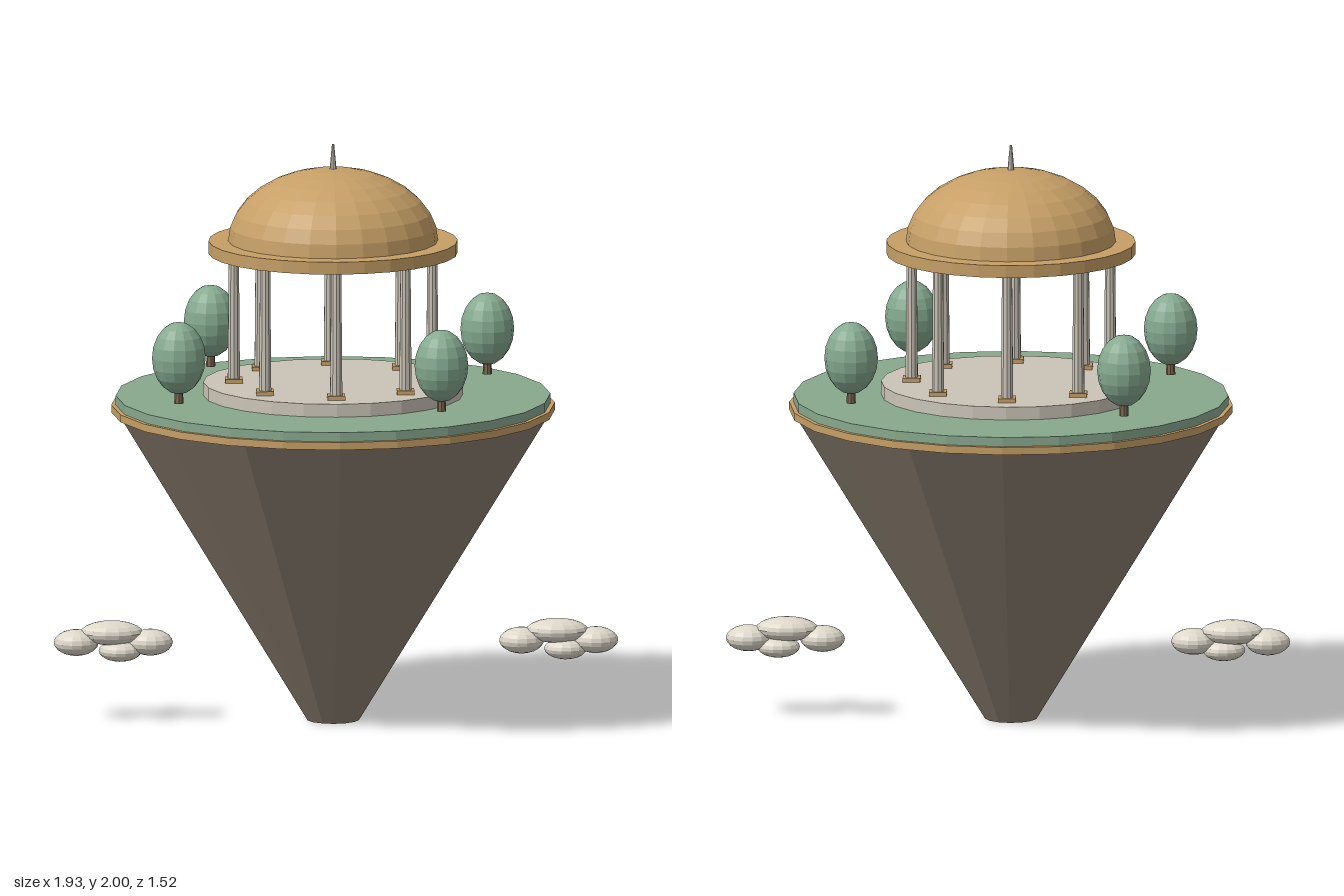
import * as THREE from 'three';

export function createModel() {
  const model = new THREE.Group();
  model.name = 'floatingPavilionIsland';

  const paint = (name, color) => {
    const m = new THREE.MeshStandardMaterial({ color, flatShading: true });
    m.name = name;
    return m;
  };
  const rockMat = paint('rock', 0x8c8071);
  const goldMat = paint('gold', 0xc69f66);
  const grassMat = paint('grass', 0x87a88d);
  const stoneMat = paint('stone', 0xcbc4b7);
  const leafMat = paint('foliage', 0x85aa90);
  const trunkMat = paint('bark', 0x7a6650);
  const cloudMat = paint('cloud', 0xded8ca);

  const add = (parent, name, geometry, material, x = 0, y = 0, z = 0) => {
    const mesh = new THREE.Mesh(geometry, material);
    mesh.name = name;
    mesh.position.set(x, y, z);
    parent.add(mesh);
    return mesh;
  };
  // Upright drum given by its bottom and top heights
  const drum = (parent, name, rTop, rBottom, y0, y1, sides, material, x = 0, z = 0) =>
    add(parent, name, new THREE.CylinderGeometry(rTop, rBottom, y1 - y0, sides), material, x, (y0 + y1) / 2, z);
  const ellipsoid = (parent, name, rx, ry, rz, material, x, y, z) =>
    add(parent, name, new THREE.SphereGeometry(1, 14, 10), material, x, y, z).scale.set(rx, ry, rz);

  // Island: tapering rock, gold rim, lawn and stone floor
  const island = new THREE.Group();
  island.name = 'island';
  island.position.x = -0.01;
  model.add(island);
  drum(island, 'rock', 0.75, 0.09, 0, 1.08, 14, rockMat);
  drum(island, 'rim', 0.76, 0.76, 1.072, 1.098, 24, goldMat);
  drum(island, 'lawn', 0.745, 0.745, 1.09, 1.13, 24, grassMat);
  drum(island, 'floor', 0.445, 0.445, 1.12, 1.175, 24, stoneMat);

  // Ring of eight columns on small square bases
  for (let i = 0; i < 8; i++) {
    const a = (i * Math.PI) / 4;
    const x = 0.34 * Math.sin(a), z = 0.34 * Math.cos(a);
    drum(island, 'column', 0.018, 0.022, 1.175, 1.63, 10, stoneMat, x, z);
    add(island, 'columnBase', new THREE.BoxGeometry(0.06, 0.014, 0.06), goldMat, x, 1.182, z);
  }

  // Roof: flat ring slab, dome and spire
  drum(island, 'roofSlab', 0.427, 0.427, 1.623, 1.666, 28, goldMat);
  const dome = add(island, 'dome',
    new THREE.SphereGeometry(0.36, 24, 8, 0, Math.PI * 2, 0, Math.PI / 2), goldMat, 0, 1.664, 0);
  dome.scale.y = 0.7;
  drum(island, 'spire', 0.004, 0.013, 1.9, 2, 8, stoneMat);

  // Trees around the lawn
  for (const [x, z] of [[-0.405, -0.45], [0.537, -0.27], [-0.537, 0.268], [0.357, 0.448]]) {
    drum(island, 'trunk', 0.012, 0.016, 1.15, 1.25, 8, trunkMat, x, z);
    ellipsoid(island, 'treeCrown', 0.092, 0.125, 0.092, leafMat, x, 1.308, z);
  }

  // Clouds made of four flattened puffs
  const puffs = [
    [-0.127, 0.272, 0.077, 0.045], [-0.006, 0.305, 0.108, 0.042],
    [0.127, 0.272, 0.077, 0.045], [0.024, 0.243, 0.074, 0.037],
  ];
  for (const cx of [-0.763, 0.763]) {
    const cloud = new THREE.Group();
    cloud.name = 'cloud';
    cloud.position.x = cx;
    model.add(cloud);
    for (const [x, y, rx, ry] of puffs) ellipsoid(cloud, 'puff', rx, ry, 0.068, cloudMat, x, y, 0);
  }

  return model;
}
